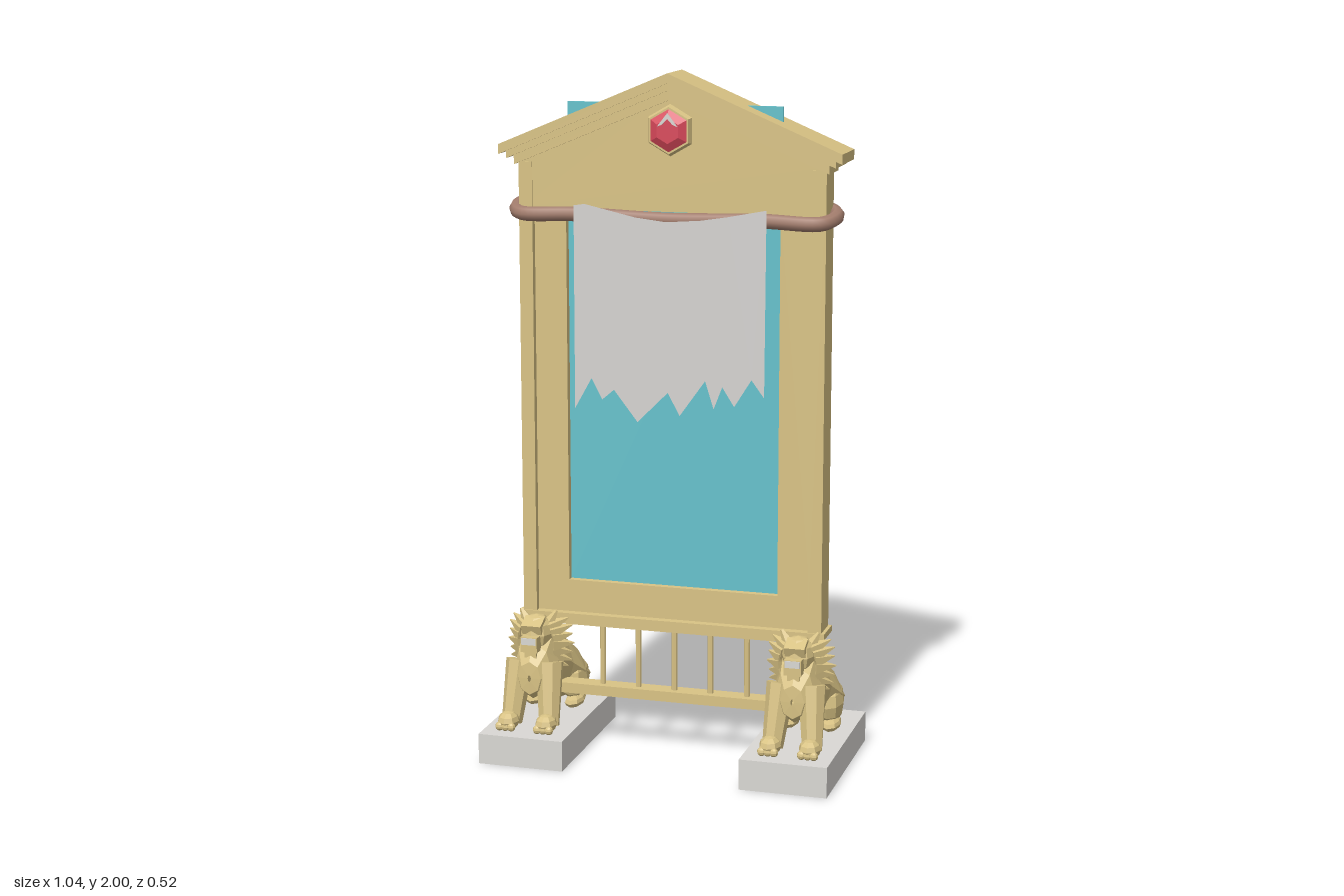
import * as THREE from 'three';

const mat = (name, color, side = THREE.FrontSide, flatShading = false) => {
  const m = new THREE.MeshStandardMaterial({ color, side, flatShading });
  m.name = name;
  return m;
};

export function createModel() {
  const gold = mat('gold', 0xd9c385, THREE.FrontSide, true);
  const stone = mat('stone', 0xdad8d4, THREE.FrontSide, true);
  const glass = mat('teal glass', 0x66c2cc);
  const linen = mat('linen', 0xd5d3d1, THREE.DoubleSide);
  const ropeBrown = mat('rope brown', 0xa37d6d);
  const red = mat('gem red', 0xd8485a, THREE.FrontSide, true);

  const root = new THREE.Group();
  root.name = 'standingMirror';

  const add = (parent, name, geo, material, x = 0, y = 0, z = 0) => {
    const m = new THREE.Mesh(geo, material);
    m.name = name;
    m.position.set(x, y, z);
    parent.add(m);
    return m;
  };
  const box = (parent, name, material, w, h, d, x, y, z) =>
    add(parent, name, new THREE.BoxGeometry(w, h, d), material, x, y, z);
  const ball = (parent, name, r, x, y, z, sx, sy, sz) =>
    add(parent, name, new THREE.SphereGeometry(r, 8, 6), gold, x, y, z).scale.set(sx, sy, sz);
  const polygon = pts => new THREE.Shape(pts.map(p => new THREE.Vector2(...p)));
  // extrusion centred on z = 0
  const slab = (shape, depth) =>
    new THREE.ExtrudeGeometry(shape, { depth, bevelEnabled: false }).translate(0, 0, -depth / 2);
  // cylinder between two points
  const limb = (parent, name, a, b, ra, rb, sides = 8) => {
    const A = new THREE.Vector3(...a), B = new THREE.Vector3(...b);
    const dir = B.clone().sub(A);
    const m = add(parent, name, new THREE.CylinderGeometry(rb, ra, dir.length(), sides), gold);
    m.position.copy(A).lerp(B, 0.5);
    m.quaternion.setFromUnitVectors(new THREE.Vector3(0, 1, 0), dir.normalize());
    return m;
  };

  // Frame around the glass
  const panel = polygon([[-0.42, 0.41], [0.42, 0.41], [0.42, 1.7], [-0.42, 1.7]]);
  panel.holes.push(new THREE.Path([[-0.315, 0.51], [-0.315, 1.61], [0.315, 1.61], [0.315, 0.51]]
    .map(p => new THREE.Vector2(...p))));
  add(root, 'framePanel', slab(panel, 0.05), gold);
  add(root, 'glassPane', new THREE.BoxGeometry(0.63, 1.4, 0.008), glass, 0, 1.21, 0);
  for (const s of [-1, 1]) box(root, 'framePost', gold, 0.04, 1.34, 0.09, s * 0.43, 1.07, 0);

  // Base moulding, rail and balusters
  box(root, 'baseMoulding', gold, 0.92, 0.018, 0.1, 0, 0.405, 0);
  box(root, 'baseMouldingLower', gold, 0.89, 0.018, 0.08, 0, 0.387, 0);
  box(root, 'lowerRail', gold, 0.74, 0.022, 0.055, 0, 0.181, 0);
  box(root, 'lowerRailFoot', gold, 0.7, 0.014, 0.03, 0, 0.164, 0);
  for (let i = -2; i <= 2; i++)
    add(root, 'baluster', new THREE.CylinderGeometry(0.009, 0.009, 0.2, 8), gold, i * 0.11, 0.285, 0);

  // Pediment with stepped cornice
  add(root, 'pedimentWall', slab(polygon(
    [[-0.44, 1.61], [0.44, 1.61], [0.44, 1.75], [0, 1.95], [-0.44, 1.75]]), 0.084), gold);
  const cornice = (name, half, eave, apex, thick, depth) =>
    add(root, name, slab(polygon([[-half, eave - thick], [0, apex - thick], [half, eave - thick],
      [half, eave], [0, apex], [-half, eave]]), depth), gold);
  cornice('roof', 0.5, 1.79, 2.0, 0.028, 0.15);
  cornice('corniceUpper', 0.48, 1.772, 1.974, 0.022, 0.13);
  cornice('corniceLower', 0.46, 1.76, 1.953, 0.028, 0.112);

  // Hexagonal gem on both faces
  for (const s of [1, -1]) {
    const gem = new THREE.Group();
    gem.name = 'gem';
    gem.rotation.y = s > 0 ? 0 : Math.PI;
    const hex = (rTop, rBase, d) => new THREE.CylinderGeometry(rTop, rBase, d, 6).rotateX(Math.PI / 2);
    add(gem, 'gemRim', hex(0.066, 0.074, 0.02), gold, 0, 1.84, 0.05);
    add(gem, 'gemStone', hex(0.036, 0.06, 0.012), red, 0, 1.84, 0.066);
    add(gem, 'gemGlint', slab(polygon([[0, 0.05], [-0.03, 0.012], [-0.015, 0.018], [0, 0.034],
      [0.015, 0.018], [0.03, 0.012]]), 0.003), stone, 0, 1.84, 0.0725);
    root.add(gem);
  }

  // Rope looped round the frame, higher at the back
  const ropePath = new THREE.CatmullRomCurve3([
    [-0.44, 1.595, 0.06], [-0.27, 1.597, 0.062], [0, 1.59, 0.06], [0.27, 1.597, 0.062], [0.44, 1.595, 0.06],
    [0.468, 1.61, -0.01], [0.41, 1.622, -0.083], [0, 1.622, -0.083], [-0.41, 1.622, -0.083], [-0.468, 1.61, -0.01],
  ].map(p => new THREE.Vector3(...p)), true);
  add(root, 'rope', new THREE.TubeGeometry(ropePath, 120, 0.021, 8, true), ropeBrown);

  // Torn cloth hanging from the rope
  add(root, 'tornCloth', new THREE.ShapeGeometry(polygon([
    [-0.272, 1.04], [-0.222, 1.13], [-0.19, 1.07], [-0.155, 1.1], [-0.085, 1.01], [0.005, 1.1], [0.04, 1.035],
    [0.115, 1.14], [0.14, 1.06], [0.165, 1.125], [0.2, 1.07], [0.25, 1.15], [0.287, 1.1], [0.29, 1.63],
    [0.18, 1.608], [0.1, 1.595], [0, 1.587], [-0.09, 1.597], [-0.24, 1.63], [-0.272, 1.625],
  ])), linen, 0, 0, 0.086);

  // Lion torso lofted along z from rows of z, bottom, top, half width
  const torsoRows = [
    [-0.186, 0.16, 0.17, 0.005], [-0.182, 0.13, 0.19, 0.05], [-0.16, 0.11, 0.225, 0.083],
    [-0.1, 0.1, 0.285, 0.088], [-0.04, 0.13, 0.335, 0.07], [0.02, 0.17, 0.372, 0.06],
    [0.08, 0.17, 0.39, 0.066], [0.13, 0.17, 0.34, 0.06], [0.16, 0.19, 0.29, 0.035], [0.162, 0.23, 0.25, 0.005],
  ];
  const torso = () => {
    const N = 8, pos = [], plain = [], pale = [];
    for (const [z, b, t, w] of torsoRows)
      for (let j = 0; j < N; j++) {
        const a = j / N * Math.PI * 2;
        pos.push(Math.cos(a) * w, (b + t) / 2 + Math.sin(a) * (t - b) / 2, z);
      }
    for (let i = 0; i < torsoRows.length - 1; i++)
      for (let j = 0; j < N; j++) {
        const a = i * N + j, b = i * N + (j + 1) % N, c = b + N, d = a + N;
        const rump = i === 2 && (j === 1 || j === 2);
        if (j < 2) { plain.push(a, b, c); (rump ? pale : plain).push(a, c, d); }
        else { plain.push(a, b, d); (rump ? pale : plain).push(b, c, d); }
      }
    const g = new THREE.BufferGeometry();
    g.setAttribute('position', new THREE.Float32BufferAttribute(pos, 3));
    g.setIndex([...plain, ...pale]);
    g.addGroup(0, plain.length, 0);
    g.addGroup(plain.length, pale.length, 1);
    g.computeVertexNormals();
    return g;
  };

  // Seated lion on a plinth
  const lion = x => {
    const L = new THREE.Group();
    L.name = 'lion';
    L.position.x = x;
    add(L, 'torso', torso(), [gold, stone]);
    ball(L, 'head', 1, 0, 0.362, 0.09, 0.05, 0.056, 0.055);
    box(L, 'brow', gold, 0.06, 0.03, 0.05, 0, 0.39, 0.118).rotation.x = 0.4;
    box(L, 'muzzle', gold, 0.05, 0.045, 0.06, 0, 0.342, 0.134);
    box(L, 'nose', stone, 0.044, 0.02, 0.006, 0, 0.353, 0.164);
    box(L, 'chin', gold, 0.036, 0.022, 0.04, 0, 0.31, 0.13);
    for (const s of [-1, 1]) {
      limb(L, 'ear', [s * 0.035, 0.39, 0.075], [s * 0.055, 0.425, 0.07], 0.018, 0.005, 5);
      for (let i = 0; i < 7; i++) {
        const a = -0.95 + i * 0.3, r = 0.098 + 0.004 * (i % 2);
        limb(L, 'maneTuft', [s * Math.cos(a) * 0.045, 0.33 + Math.sin(a) * 0.06, 0.085],
          [s * Math.cos(a * 0.6) * r, 0.33 + Math.sin(a) * 0.095, 0.05], 0.026, 0.002, 5);
      }
      limb(L, 'foreleg', [s * 0.045, 0.28, 0.11], [s * 0.058, 0.1, 0.155], 0.042, 0.03);
      ball(L, 'forepaw', 1, s * 0.058, 0.115, 0.183, 0.032, 0.028, 0.042);
      for (const t of [-1, 0, 1]) ball(L, 'toe', 0.013, s * 0.058 + t * 0.018, 0.104, 0.212, 1, 1, 1);
      ball(L, 'haunch', 1, s * 0.055, 0.163, -0.105, 0.036, 0.066, 0.075);
      ball(L, 'hindPaw', 1, s * 0.062, 0.108, -0.075, 0.028, 0.02, 0.06);
    }
    const tail = new THREE.CatmullRomCurve3([[0, 0.165, -0.17], [0, 0.19, -0.21], [0, 0.17, -0.246],
      [0, 0.125, -0.25], [0, 0.1, -0.215], [0, 0.098, -0.17]].map(p => new THREE.Vector3(...p)));
    add(L, 'tail', new THREE.TubeGeometry(tail, 20, 0.01, 6), gold);
    root.add(L);
  };
  for (const s of [-1, 1]) {
    box(root, 'plinth', stone, 0.256, 0.09, 0.514, s * 0.392, 0.045, 0);
    lion(s * 0.395);
  }
  return root;
}
